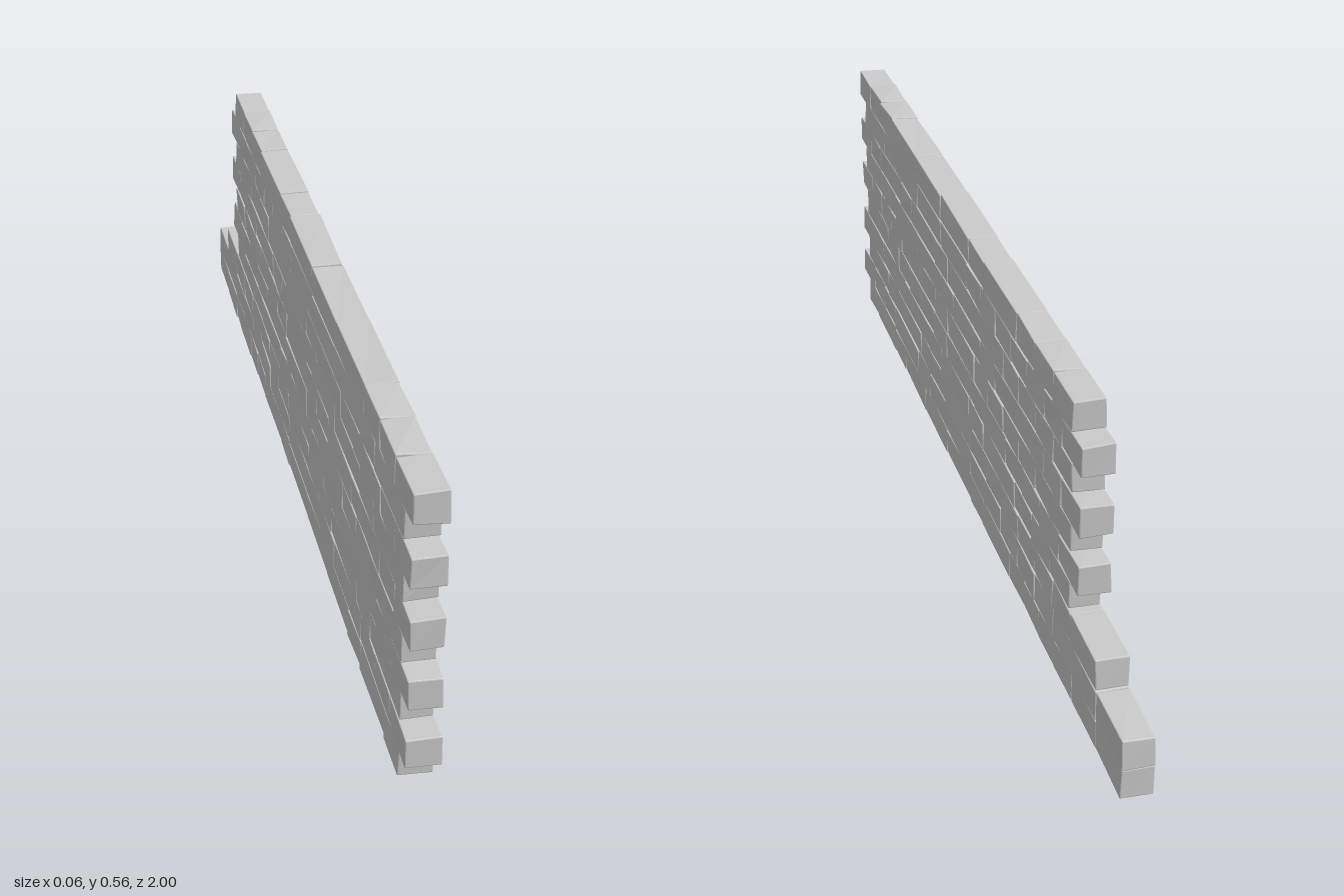
import * as THREE from 'three';
import { RoundedBoxGeometry } from 'three/addons/geometries/RoundedBoxGeometry.js';

// Courses from bottom to top: start z, end z, brick lengths in half-brick units,
// and the ends of any stepped bricks that carry on past the ruined edge.
const COURSES = [
  [0.95, -0.73, '121222121111', [-0.865, -1]].slice(),
  [1.0, -0.73, '111211221111', [-0.865, -1]],
  [0.95, -0.72, '212112111111', [-0.86]],
  [1.0, -0.705, '11221212111', []],
  [0.95, -0.755, '21121221111', []],
  [1.0, -0.705, '11112112111111', []],
  [0.95, -0.755, '21221212111', []],
  [1.0, -0.705, '112121221111', []],
  [0.95, -0.755, '212221111111', []],
  [1.0, -0.705, '11122212111', []],
];
const THICKNESS = 0.058;
const HEIGHT = 0.056;
const GAP = 0.001;
const CHAMFER = 0.002;
const WOBBLE = 0.0018;

function seededRandom(seed) {
  return () => {
    seed = (seed * 16807) % 2147483647;
    return seed / 2147483647;
  };
}

// Chamfered block with each of its eight corners nudged a little
function brickGeometry(length, random) {
  const geometry = new RoundedBoxGeometry(THICKNESS, HEIGHT - GAP, length - GAP, 1, CHAMFER);
  const nudges = Array.from({ length: 8 }, () =>
    new THREE.Vector3(random() - 0.5, random() - 0.5, random() - 0.5).multiplyScalar(2 * WOBBLE));
  const position = geometry.attributes.position;
  const p = new THREE.Vector3();
  for (let i = 0; i < position.count; i++) {
    p.fromBufferAttribute(position, i);
    const corner = (p.x > 0 ? 1 : 0) + (p.y > 0 ? 2 : 0) + (p.z > 0 ? 4 : 0);
    p.add(nudges[corner]);
    position.setXYZ(i, p.x, p.y, p.z);
  }
  geometry.computeVertexNormals();
  return geometry;
}

export function createModel() {
  const wall = new THREE.Group();
  wall.name = 'brickWall';
  const material = new THREE.MeshStandardMaterial({ color: 0xcccccc, flatShading: true });
  const random = seededRandom(4217);

  COURSES.forEach(([start, end, pattern, steps], row) => {
    const course = new THREE.Group();
    course.name = `course${row + 1}`;
    course.position.y = (row + 0.5) * HEIGHT + GAP;

    // Joint positions along the course
    const units = [...pattern].map(Number);
    const unit = (start - end) / units.reduce((a, b) => a + b, 0);
    const joints = [start];
    units.forEach((n) => joints.push(joints[joints.length - 1] - n * unit));
    joints.push(...steps);

    for (let i = 0; i + 1 < joints.length; i++) {
      const brick = new THREE.Mesh(brickGeometry(joints[i] - joints[i + 1], random), material);
      brick.name = 'brick';
      brick.position.z = (joints[i] + joints[i + 1]) / 2;
      course.add(brick);
    }
    wall.add(course);
  });
  return wall;
}
